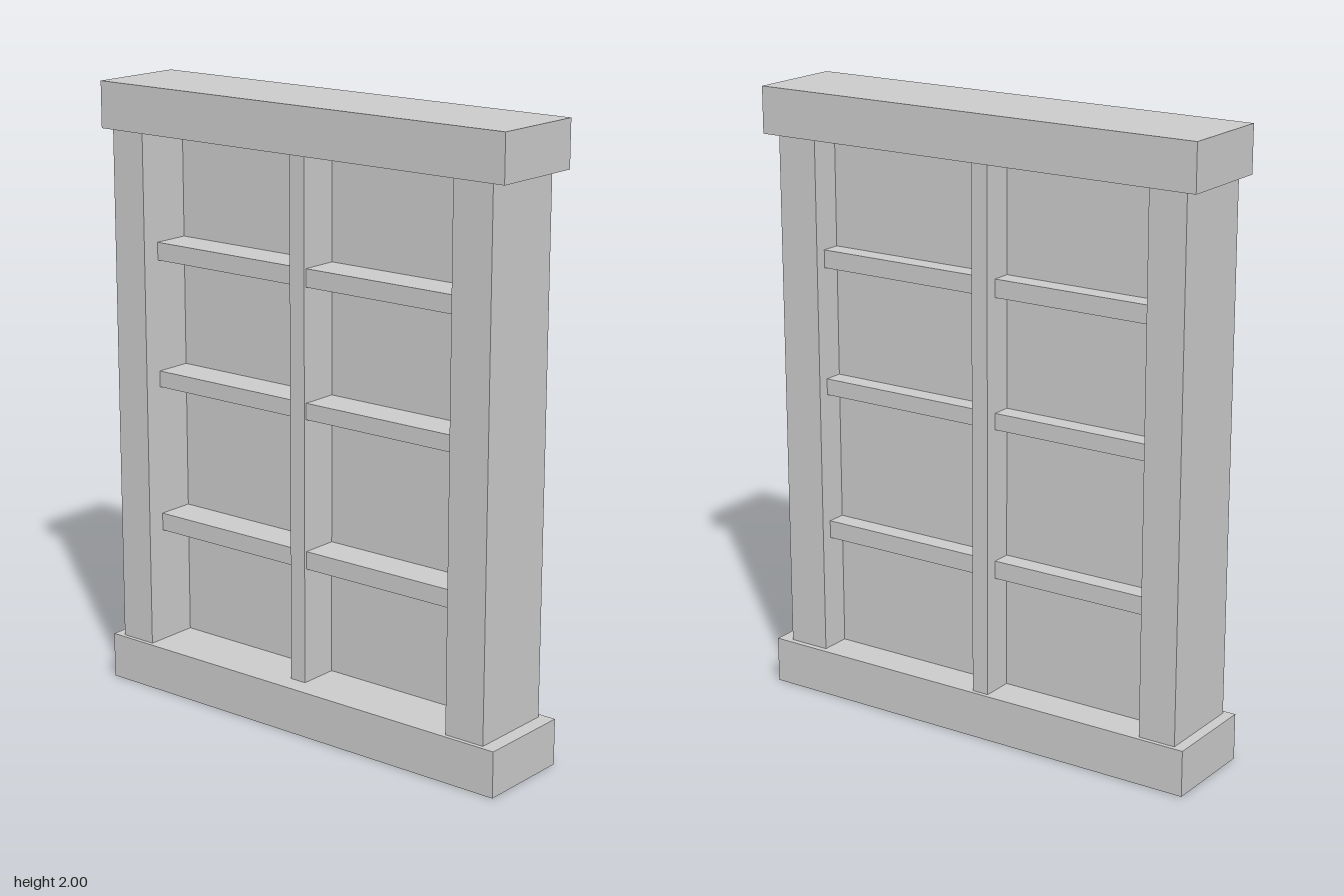
import * as THREE from 'three';

export function createModel() {
  const group = new THREE.Group();
  group.name = 'window';
  const material = new THREE.MeshStandardMaterial({ color: 0xcccccc, flatShading: true });

  // Box given by its [min, max] range on each axis
  function addBox(name, [x0, x1], [y0, y1], [z0, z1]) {
    const mesh = new THREE.Mesh(new THREE.BoxGeometry(x1 - x0, y1 - y0, z1 - z0), material);
    mesh.position.set((x0 + x1) / 2, (y0 + y1) / 2, (z0 + z1) / 2);
    mesh.name = name;
    group.add(mesh);
  }

  const opening = [0.15, 1.85];
  const beamX = [-0.777, 0.777], beamZ = [-0.162, 0.162];

  // Sill and lintel
  addBox('sill', beamX, [0, opening[0]], beamZ);
  addBox('lintel', beamX, [opening[1], 2], beamZ);

  // Side posts
  addBox('rightPost', [-0.741, -0.616], opening, [-0.148, 0.148]);
  addBox('leftPost', [0.59, 0.729], opening, [-0.143, 0.148]);

  // Upright bar between the two columns of panes
  addBox('mullion', [-0.06, -0.003], opening, [-0.148, 0.096]);

  // Cross bars, one on each side of the mullion
  const barZ = [-0.106, 0.087];
  for (const barY of [[0.529, 0.587], [1.016, 1.069], [1.434, 1.492]]) {
    addBox('rightCrossBar', [-0.616, -0.06], barY, barZ);
    addBox('leftCrossBar', [-0.003, 0.59], barY, barZ);
  }

  // Thin panes filling the opening
  const paneZ = [-0.042, -0.038];
  addBox('rightPane', [-0.616, -0.06], opening, paneZ);
  addBox('leftPane', [-0.003, 0.59], opening, paneZ);

  return group;
}
